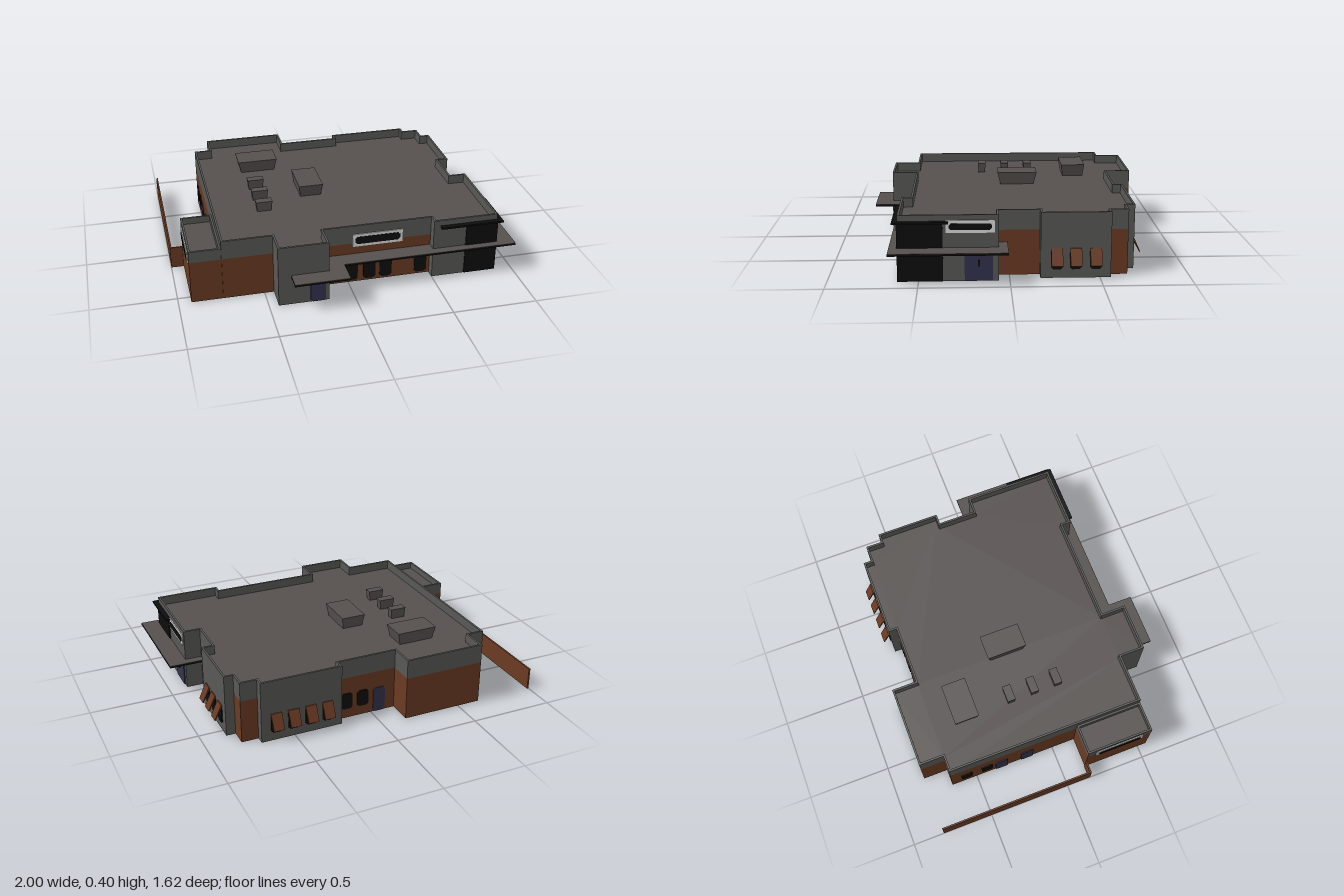
import * as THREE from 'three';

const mat = (name, color) => {
  const m = new THREE.MeshStandardMaterial({ color });
  m.name = name;
  return m;
};

export function createModel() {
  const root = new THREE.Group();
  root.name = 'building';
  const grey = mat('wallGrey', 0x585856);
  const roofGrey = mat('roofGrey', 0x56514f);
  const brown = mat('brickBrown', 0x6a3a22);
  const black = mat('glassBlack', 0x0d0d0d);
  const blue = mat('doorBlue', 0x33334e);
  const white = mat('signWhite', 0xdedede);

  const add = (name, geo, m, x = 0, y = 0, z = 0, ry = 0) => {
    const mesh = new THREE.Mesh(geo, m);
    mesh.name = name;
    mesh.position.set(x, y, z);
    mesh.rotation.y = ry;
    root.add(mesh);
    return mesh;
  };
  const box = (name, m, x0, x1, y0, y1, z0, z1) =>
    add(name, new THREE.BoxGeometry(x1 - x0, y1 - y0, z1 - z0), m, (x0 + x1) / 2, (y0 + y1) / 2, (z0 + z1) / 2);

  // Horizontal slab from an (x, z) outline, between two heights
  const toPts = (pts) => pts.map((p) => new THREE.Vector2(p[0], p[1]));
  const slab = (name, m, pts, y0, y1, hole) => {
    const shape = new THREE.Shape(toPts(pts));
    if (hole) shape.holes.push(new THREE.Path(toPts(hole)));
    const geo = new THREE.ExtrudeGeometry(shape, { depth: y1 - y0, bevelEnabled: false });
    geo.rotateX(Math.PI / 2);
    return add(name, geo, m, 0, y1, 0);
  };

  // Move every edge of an axis-aligned outline inward
  const inset = (pts, t) => pts.map((p, i) => {
    const a = pts[(i + pts.length - 1) % pts.length], b = pts[(i + 1) % pts.length];
    const nx = Math.sign(p[1] - a[1]) + Math.sign(b[1] - p[1]);
    const nz = -Math.sign(p[0] - a[0]) - Math.sign(b[0] - p[0]);
    return [p[0] - nx * t, p[1] - nz * t];
  });

  // Walled block: floor, lower wall panels, parapet ring and sunken roof
  const BAND = 0.26;
  const block = (name, pts, top, roofY, isGrey) => {
    slab(name + 'Floor', roofGrey, inset(pts, 0.001), 0, 0.004);
    slab(name + 'Roof', roofGrey, inset(pts, 0.004), roofY - 0.01, roofY);
    slab(name + 'Parapet', grey, pts, BAND, top, inset(pts, 0.012));
    pts.forEach((p, i) => {
      const q = pts[(i + 1) % pts.length];
      const dx = q[0] - p[0], dz = q[1] - p[1];
      add(name + 'Wall' + i, new THREE.PlaneGeometry(Math.hypot(dx, dz), BAND), isGrey(i) ? grey : brown,
        (p[0] + q[0]) / 2, BAND / 2, (p[1] + q[1]) / 2, Math.atan2(dz, -dx));
    });
  };

  const outline = [
    [-0.64, -0.81], [-0.15, -0.81], [-0.15, -0.66], [0.21, -0.66], [0.21, -0.71], [0.70, -0.71],
    [0.70, -0.66], [0.80, -0.66], [0.80, -0.56], [0.855, -0.56], [0.855, -0.17], [0.79, -0.17],
    [0.79, 0.06], [0.89, 0.06], [0.89, 0.61], [0.50, 0.61], [0.50, 0.555], [-0.15, 0.555],
    [-0.15, 0.705], [-0.445, 0.705], [-0.445, 0.555], [-0.74, 0.555], [-0.74, -0.66], [-0.64, -0.66],
  ];
  const greyEdges = new Set([3, 4, 5, 8, 9, 10, 12, 13, 14, 15, 17, 18, 19]);
  block('main', outline, 0.375, 0.32, (i) => greyEdges.has(i));
  block('annex', [[-0.925, 0.145], [-0.741, 0.145], [-0.741, 0.555], [-0.925, 0.555]], 0.33, 0.29, () => false);

  // Yard fence on the right-hand side
  box('fence', brown, -1, -0.99, 0, 0.135, -0.81, 0.15);
  box('fenceReturn', brown, -1, -0.925, 0, 0.135, 0.14, 0.15);

  // Flat details on a wall: side angle, position along it, wall plane
  const FRONT = 0, LEFT = Math.PI / 2, BACK = Math.PI, RIGHT = -Math.PI / 2;
  const plate = (name, m, side, along, wall, y0, y1, w, r = 0.012, depth = 0.006) => {
    const h = y1 - y0, s = new THREE.Shape();
    s.moveTo(-w / 2 + r, 0).lineTo(w / 2 - r, 0).lineTo(w / 2, r).lineTo(w / 2, h - r)
      .lineTo(w / 2 - r, h).lineTo(-w / 2 + r, h).lineTo(-w / 2, h - r).lineTo(-w / 2, r);
    const geo = new THREE.ExtrudeGeometry(s, { depth, bevelEnabled: false });
    const onZ = side === FRONT || side === BACK;
    add(name, geo, m, onZ ? along : wall, y0, onZ ? wall : along, side);
  };

  // Signs
  const sign = (side, along, wall, y0, y1, w) => {
    plate('signFrame', white, side, along, wall, y0, y1, w, 0.001, 0.006);
    plate('signPanel', black, side, along, wall, y0 + 0.017, y1 - 0.017, w - 0.03, 0.012, 0.009);
  };
  sign(FRONT, 0.175, 0.555, 0.24, 0.32, 0.3);
  sign(LEFT, 0.215, 0.89, 0.275, 0.345, 0.265);
  sign(RIGHT, 0.35, -0.925, 0.225, 0.3, 0.3);

  // Doors
  plate('frontDoor', blue, FRONT, -0.215, 0.705, 0.002, 0.155, 0.09);
  plate('leftDoor', blue, LEFT, 0.17, 0.89, 0.002, 0.155, 0.155, 0.005);
  box('doorHandle', black, 0.89, 0.902, 0.085, 0.12, 0.165, 0.175);
  plate('backDoor', blue, BACK, -0.05, -0.66, 0.002, 0.155, 0.075);
  for (const z of [-0.335, -0.17]) plate('sideDoor', blue, RIGHT, z, -0.74, 0.002, 0.155, 0.08);

  // Windows
  for (const x of [-0.08, 0.02, 0.128, 0.228, 0.443]) plate('frontWindow', black, FRONT, x, 0.555, 0.015, 0.16, 0.074);
  for (const x of [0.157, 0.055]) plate('backWindow', black, BACK, x, -0.66, 0.06, 0.16, 0.07);
  for (const z of [-0.56, -0.43]) plate('sideWindow', black, RIGHT, z, -0.74, 0.07, 0.165, 0.07);

  // Glazed corner
  plate('cornerGlassFront', black, FRONT, 0.798, 0.61, 0.001, 0.34, 0.196, 0.001);
  plate('cornerGlassLeft', black, LEFT, 0.491, 0.89, 0.001, 0.335, 0.25, 0.001);

  // Windows under sloping awnings
  const awning = (side, along, wall) => {
    plate('awningWindow', black, side, along, wall, 0.05, 0.165, 0.065);
    const s = new THREE.Shape(toPts([[0, 0.17], [0, 0.162], [0.042, 0.077], [0.047, 0.08], [0.006, 0.17]]));
    const geo = new THREE.ExtrudeGeometry(s, { depth: 0.064, bevelEnabled: false });
    geo.translate(0, 0, -0.032).rotateY(-Math.PI / 2);
    const onZ = side === BACK;
    add('awning', geo, brown, onZ ? along : wall, 0, onZ ? wall : along, side);
  };
  for (const z of [-0.26, -0.365, -0.475]) awning(LEFT, z, 0.855);
  for (const x of [0.3, 0.402, 0.507, 0.61]) awning(BACK, x, -0.71);

  // Entrance canopy with a grey top
  const canopy = [
    [-0.37, 0.56], [0.7, 0.54], [0.78, 0.01], [1, 0.01], [1, 0.66], [-0.05, 0.66], [-0.05, 0.81], [-0.37, 0.81],
  ];
  slab('canopy', black, canopy, 0.178, 0.189);
  slab('canopyTop', roofGrey, canopy, 0.189, 0.191);

  // Upper ledge over the glazed corner
  slab('cornerLedge', black, [
    [0.54, 0.61], [0.89, 0.61], [0.89, 0.335], [0.92, 0.335], [0.92, 0.64], [0.54, 0.64],
  ], 0.33, 0.341);

  // Rooftop units, narrower at the base
  const unit = (x0, x1, z0, z1, top) => {
    const mesh = box('roofUnit', roofGrey, x0, x1, 0.315, top, z0, z1);
    const p = mesh.geometry.attributes.position;
    for (let i = 0; i < p.count; i++) {
      if (p.getY(i) < 0) p.setXYZ(i, p.getX(i) * 0.85, p.getY(i), p.getZ(i) * 0.85);
    }
    mesh.geometry.computeVertexNormals();
  };
  unit(-0.49, -0.24, -0.53, -0.38, 0.396);
  unit(-0.18, -0.03, -0.205, 0.04, 0.396);
  for (const z of [-0.165, -0.015, 0.135]) unit(-0.47, -0.37, z - 0.025, z + 0.025, 0.382);

  return root;
}
